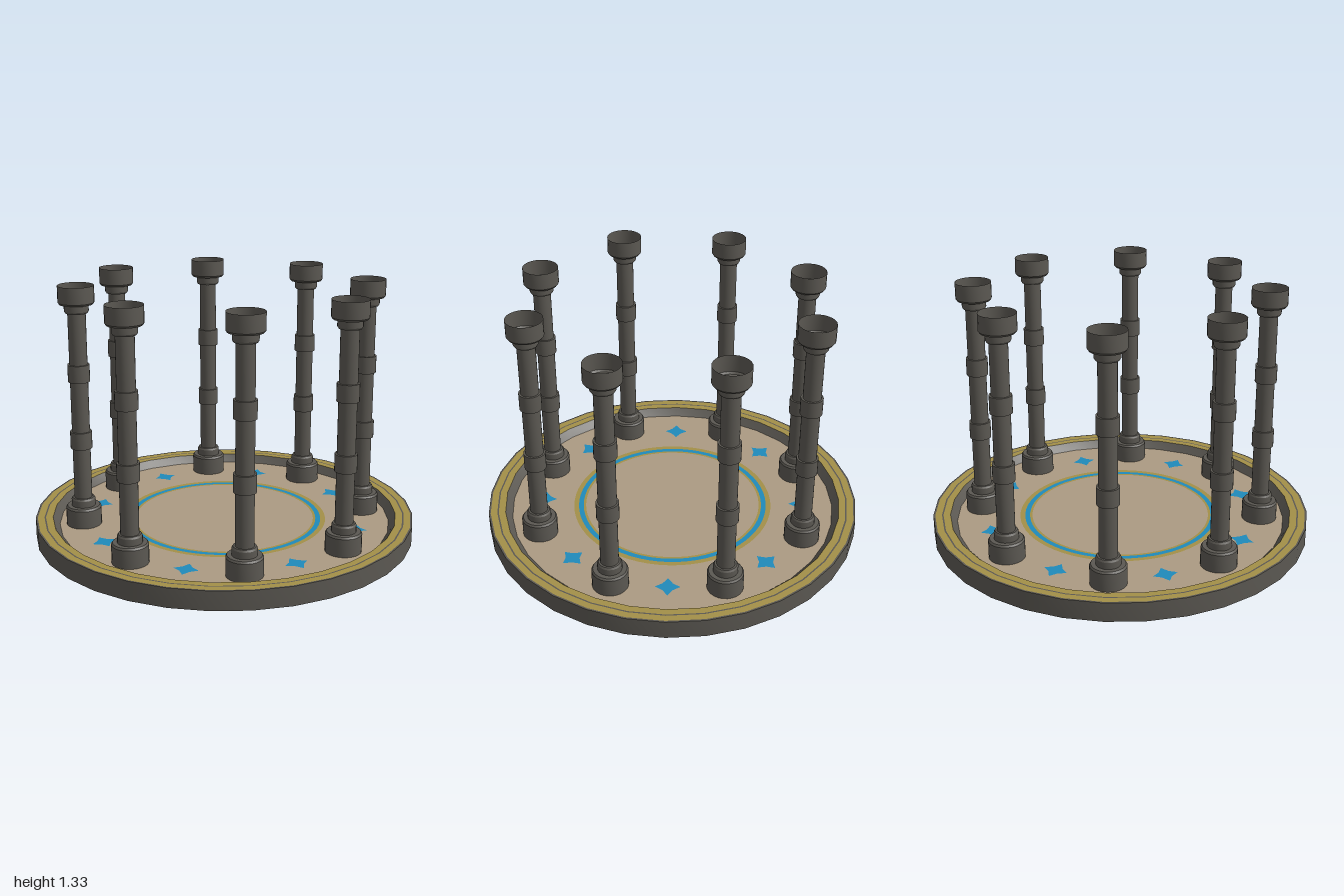
import * as THREE from 'three';
import { toCreasedNormals } from 'three/addons/utils/BufferGeometryUtils.js';

const FLOOR_Y = 0.06;
const RIM_Y = 0.1;

function material(name, color) {
  const m = new THREE.MeshStandardMaterial({ color, side: THREE.DoubleSide });
  m.name = name;
  return m;
}

// Lathe with sharp profile steps and a smooth round
function turned(points, segments) {
  const profile = points.map(([r, y]) => new THREE.Vector2(r, y));
  return toCreasedNormals(new THREE.LatheGeometry(profile, segments), 0.5);
}

// Four-pointed star outline pointing away from the centre
function starPoints(cx, cy, angle) {
  const pts = [];
  for (let i = 0; i < 8; i++) {
    const a = angle + i * Math.PI / 4;
    const r = i % 2 ? 0.036 : 0.064;
    pts.push(new THREE.Vector2(cx + r * Math.cos(a), cy + r * Math.sin(a)));
  }
  return pts;
}

export function createModel() {
  const model = new THREE.Group();
  model.name = 'pillaredPlatform';
  const stone = material('dark stone', 0x5b5852);
  const tan = material('tan floor', 0xab9a82);
  const gold = material('gold trim', 0xa38f48);
  const blue = material('blue inlay', 0x1f8aba);

  function add(name, geometry, mat, parent = model) {
    const mesh = new THREE.Mesh(geometry, mat);
    mesh.name = name;
    parent.add(mesh);
    return mesh;
  }
  function flat(name, geometry, mat, y) {
    geometry.rotateX(-Math.PI / 2);
    geometry.translate(0, y, 0);
    return add(name, geometry, mat);
  }
  const ring = (name, r0, r1, mat, y, n) => flat(name, new THREE.RingGeometry(r0, r1, n), mat, y);

  // Rim: outer wall, sloping inner wall and banded top, open underneath
  add('rimOuterWall', turned([[1, 0], [1, RIM_Y]], 32), stone);
  add('rimInnerWall', turned([[0.91, RIM_Y], [0.875, FLOOR_Y]], 32), stone);
  ring('rimGoldInner', 0.91, 0.947, gold, RIM_Y, 32);
  ring('rimGroove', 0.947, 0.955, stone, RIM_Y, 32);
  ring('rimGoldOuter', 0.955, 0.99, gold, RIM_Y, 32);
  ring('rimEdge', 0.99, 1, stone, RIM_Y, 32);

  // Floor centre with its inlaid circle
  flat('floorCentre', new THREE.CircleGeometry(0.475, 64), tan, FLOOR_Y);
  ring('circleGoldInner', 0.475, 0.488, gold, FLOOR_Y, 64);
  ring('circleBlue', 0.488, 0.514, blue, FLOOR_Y, 64);
  ring('circleGoldOuter', 0.514, 0.54, gold, FLOOR_Y, 64);

  // Outer floor, cut out where the stars are inlaid
  const floor = new THREE.Shape().absarc(0, 0, 0.88, 0, Math.PI * 2);
  floor.holes.push(new THREE.Path().absarc(0, 0, 0.54, 0, Math.PI * 2, true));
  for (let i = 0; i < 8; i++) {
    const a = (i + 0.5) * Math.PI / 4;
    const pts = starPoints(0.703 * Math.cos(a), 0.703 * Math.sin(a), a);
    floor.holes.push(new THREE.Path(pts));
    flat('starInlay', new THREE.ShapeGeometry(new THREE.Shape(pts)), blue, FLOOR_Y);
  }
  flat('floorOuter', new THREE.ShapeGeometry(floor, 32), tan, FLOOR_Y);

  // Hollow pillars with stepped base, two collars and an open cup on top
  const pillarGeometry = turned([
    [0.092, FLOOR_Y], [0.092, 0.155], [0.085, 0.165], [0.062, 0.165], [0.062, 0.2], [0.056, 0.21],
    [0.046, 0.21], [0.046, 0.48], [0.056, 0.48], [0.056, 0.57], [0.046, 0.57],
    [0.046, 0.835], [0.056, 0.835], [0.056, 0.925], [0.046, 0.925],
    [0.046, 1.19], [0.056, 1.19], [0.062, 1.2], [0.062, 1.235], [0.085, 1.235],
    [0.092, 1.245], [0.092, 1.33],
  ], 24);
  for (let i = 0; i < 8; i++) {
    const a = i * Math.PI / 4;
    add('pillar', pillarGeometry, stone).position.set(0.747 * Math.cos(a), 0, 0.747 * Math.sin(a));
  }
  return model;
}
